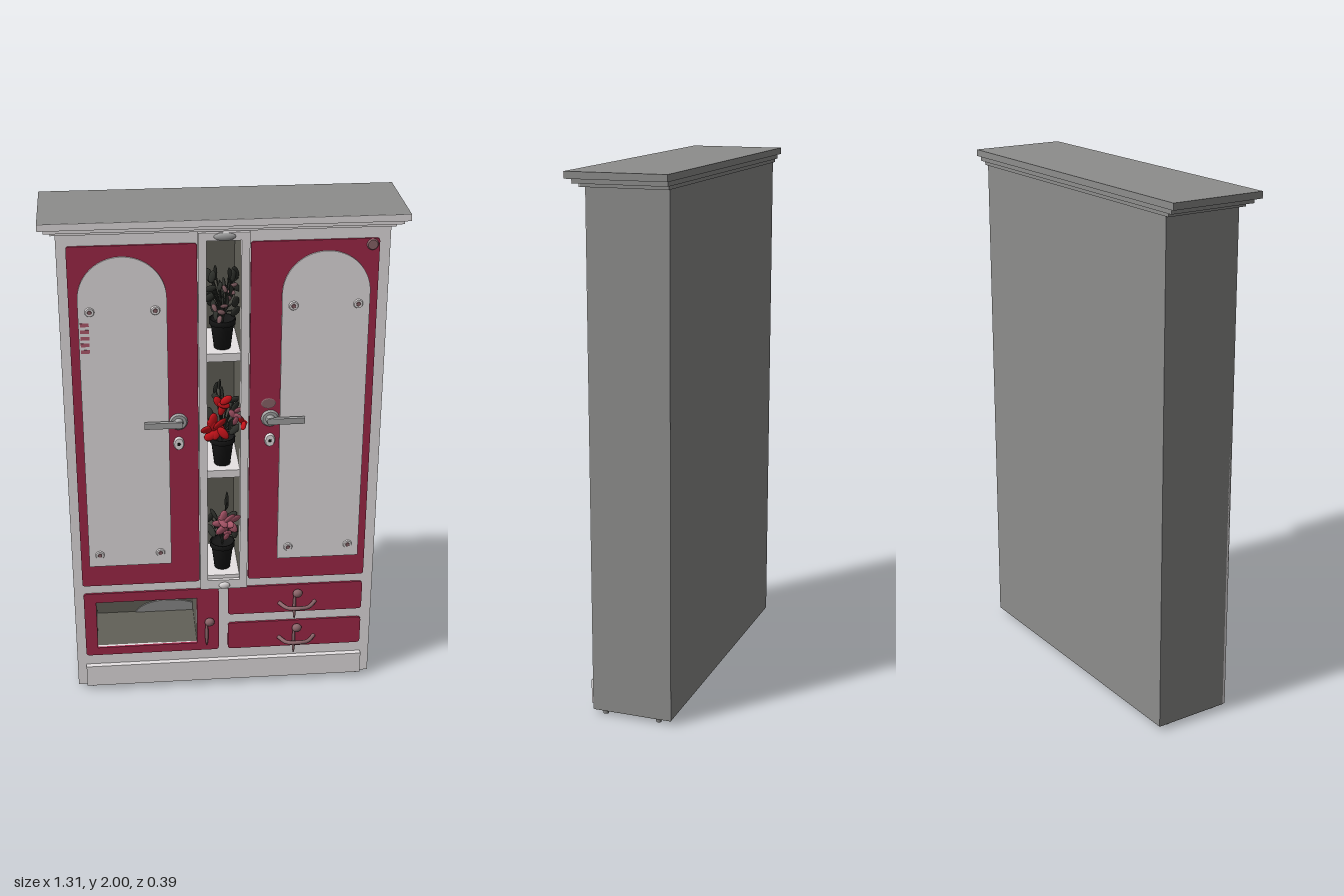
import * as THREE from 'three';

const mat = (name, color) => {
  const m = new THREE.MeshStandardMaterial({ color });
  m.name = name;
  return m;
};

export function createModel() {
  const root = new THREE.Group();
  root.name = 'cupboard';
  const white = mat('whitePaint', 0xe7e3e4), grey = mat('greyCarcass', 0x8d8d8c);
  const red = mat('raspberryPaint', 0xa2294a), olive = mat('oliveInterior', 0x626158);
  const steel = mat('steel', 0xa6a6a6), bronze = mat('rosyMetal', 0x8c666b);
  const black = mat('blackPot', 0x161616), green = mat('darkLeaf', 0x333530);
  const scarlet = mat('scarletPetal', 0xd0141c), pink = mat('pinkPetal', 0xb45c70);

  const add = (name, geo, m, parent = root) => {
    const mesh = new THREE.Mesh(geo, m);
    mesh.name = name;
    parent.add(mesh);
    return mesh;
  };
  // box given by its limits
  const box = (name, m, x0, x1, y0, y1, z0, z1, parent = root) => {
    const b = add(name, new THREE.BoxGeometry(x1 - x0, y1 - y0, z1 - z0), m, parent);
    b.position.set((x0 + x1) / 2, (y0 + y1) / 2, (z0 + z1) / 2);
    return b;
  };
  const rect = (s, x0, x1, y0, y1, r = 0) => {
    s.moveTo(x0 + r, y0); s.lineTo(x1 - r, y0);
    s.quadraticCurveTo(x1, y0, x1, y0 + r); s.lineTo(x1, y1 - r);
    s.quadraticCurveTo(x1, y1, x1 - r, y1); s.lineTo(x0 + r, y1);
    s.quadraticCurveTo(x0, y1, x0, y1 - r); s.lineTo(x0, y0 + r);
    s.quadraticCurveTo(x0, y0, x0 + r, y0);
    return s;
  };
  const plate = (name, m, shape, z0, z1) => {
    const g = new THREE.ExtrudeGeometry(shape, { depth: z1 - z0, bevelEnabled: false, curveSegments: 20 });
    return add(name, g.translate(0, 0, z0), m);
  };
  // disc or rod along z
  const disc = (name, m, x, y, z0, z1, r, parent = root) => {
    const d = add(name, new THREE.CylinderGeometry(r * 0.8, r, z1 - z0, 20), m, parent);
    d.rotation.x = Math.PI / 2;
    d.position.set(x, y, (z0 + z1) / 2);
    return d;
  };
  const ball = (name, m, x, y, z, sx, sy, sz, parent = root) => {
    const b = add(name, new THREE.SphereGeometry(1, 12, 8), m, parent);
    b.position.set(x, y, z);
    b.scale.set(sx, sy, sz);
    return b;
  };

  // carcass
  for (const s of [-1, 1]) box('sidePanel', grey, s * 0.585 - 0.01, s * 0.585 + 0.01, 0.02, 1.945, -0.185, 0.12);
  box('backPanel', grey, -0.59, 0.59, 0.02, 1.945, -0.185, -0.165);
  box('bottomPanel', olive, -0.594, 0.594, 0.018, 0.04, -0.184, 0.118);

  // stepped cornice with painted front edges
  [[0.612, 1.945, 1.958, -0.188, 0.135], [0.635, 1.958, 1.975, -0.193, 0.153], [0.655, 1.975, 2, -0.2, 0.172]]
    .forEach(([w, y0, y1, z0, z1]) => {
      box('cornice', grey, -w, w, y0, y1, z0, z1);
      box('corniceFront', white, -w, w, y0, y1, z1, z1 + 0.003);
    });

  // face frame with the niche and compartment openings
  const front = rect(new THREE.Shape(), -0.595, 0.595, 0.02, 1.945);
  front.holes.push(rect(new THREE.Path(), -0.065, 0.06, 0.5, 1.91), rect(new THREE.Path(), -0.51, -0.11, 0.2, 0.415));
  plate('faceFrame', white, front, 0.112, 0.122);
  box('plinth', white, -0.56, 0.56, 0.025, 0.118, 0.12, 0.143);

  // lined recesses
  const recess = (name, x0, x1, y0, y1, z0, z1) => {
    const t = 0.008;
    box(name + 'Back', olive, x0 - t, x1 + t, y0 - t, y1 + t, z0 - t, z0);
    box(name + 'Left', olive, x1, x1 + t, y0, y1, z0, z1);
    box(name + 'Right', olive, x0 - t, x0, y0, y1, z0, z1);
    box(name + 'Top', olive, x0, x1, y1, y1 + t, z0, z1);
    box(name + 'Floor', olive, x0, x1, y0 - t, y0, z0, z1);
  };
  recess('niche', -0.065, 0.06, 0.5, 1.91, -0.12, 0.115);
  recess('compartment', -0.51, -0.11, 0.2, 0.415, -0.12, 0.115);
  for (const y of [0.5, 0.97, 1.455]) box('nicheShelf', white, -0.065, 0.06, y - 0.016, y + 0.016, -0.12, 0.125);

  // pale hump at the back of the compartment
  const hump = new THREE.Shape();
  hump.moveTo(-0.35, 0.2);
  hump.lineTo(-0.112, 0.2);
  hump.lineTo(-0.112, 0.235);
  hump.bezierCurveTo(-0.17, 0.26, -0.31, 0.27, -0.35, 0.2);
  plate('compartmentHump', grey, hump, -0.12, -0.114);

  // raised niche surround
  const surround = rect(new THREE.Shape(), -0.095, 0.09, 0.46, 1.94);
  surround.holes.push(rect(new THREE.Path(), -0.065, 0.06, 0.5, 1.91));
  plate('nicheSurround', white, surround, 0.122, 0.138);
  ball('topOrnament', steel, 0, 1.925, 0.138, 0.04, 0.015, 0.008);
  ball('bottomOrnament', white, 0, 0.475, 0.138, 0.022, 0.015, 0.008);

  // doors, arched panels, screws, lever handles
  for (const s of [-1, 1]) {
    const door = s < 0 ? [-0.56, -0.098] : [0.094, 0.556];
    plate('door', red, rect(new THREE.Shape(), ...door, 0.495, 1.9, 0.012), 0.12, 0.13);
    const cx = s * 0.368, r = 0.16, arch = new THREE.Shape();
    arch.moveTo(cx - r, 0.588);
    arch.lineTo(cx + r, 0.588);
    arch.absarc(cx, 1.7, r, 0, Math.PI, false);
    plate('archedPanel', white, arch, 0.128, 0.136);
    for (const dx of [-0.118, 0.118]) for (const y of [0.64, 1.655]) {
      disc('screwCap', white, cx + dx, y, 0.134, 0.141, 0.019);
      disc('screwHead', bronze, cx + dx, y, 0.14, 0.143, 0.009);
    }
    const h = new THREE.Group();
    h.name = 'leverHandle';
    root.add(h);
    disc('rose', steel, s * 0.172, 1.203, 0.128, 0.138, 0.036, h);
    disc('spindle', steel, s * 0.172, 1.203, 0.136, 0.16, 0.018, h);
    const xs = [s * 0.16, s * 0.3].sort((a, b) => a - b);
    box('lever', steel, ...xs, 1.19, 1.214, 0.147, 0.162, h);
    disc('lockRose', white, s * 0.172, 1.112, 0.128, 0.139, 0.021, h).scale.z = 1.4;
    disc('keyhole', black, s * 0.172, 1.112, 0.138, 0.141, 0.007, h);
  }
  disc('doorBadge', bronze, 0.53, 1.878, 0.129, 0.136, 0.022);
  disc('doorMark', bronze, 0.165, 1.265, 0.129, 0.132, 0.03).scale.z = 0.75;
  for (let i = 0; i < 5; i++) box('panelMark', pink, -0.522, -0.49, 1.495 + i * 0.026, 1.509 + i * 0.026, 0.135, 0.137);

  // lower door with its window, and two drawers
  const hatch = rect(new THREE.Shape(), -0.558, -0.022, 0.165, 0.457, 0.015);
  hatch.holes.push(rect(new THREE.Path(), -0.51, -0.11, 0.2, 0.415));
  plate('lowerDoor', red, hatch, 0.12, 0.13);
  const key = (x, y, len) => {
    ball('keyKnob', bronze, x, y, 0.145, 0.02, 0.018, 0.015);
    ball('keyTassel', bronze, x - 0.012, y - len / 2, 0.145, 0.007, len / 2, 0.008);
  };
  key(-0.06, 0.308, 0.11);
  for (const [y0, y1, hy] of [[0.33, 0.458, 0.37], [0.165, 0.288, 0.205]]) {
    plate('drawerFront', red, rect(new THREE.Shape(), 0.015, 0.555, y0, y1, 0.015), 0.12, 0.13);
    const bow = new THREE.CatmullRomCurve3([[0.22, hy + 0.006, 0.13], [0.25, hy - 0.002, 0.16], [0.293, hy, 0.17],
      [0.336, hy - 0.002, 0.16], [0.366, hy + 0.006, 0.13]].map(p => new THREE.Vector3(...p)));
    add('drawerPull', new THREE.TubeGeometry(bow, 20, 0.008, 8), bronze);
    key(0.293, hy + 0.055, 0.12);
  }

  // feet: a cluster of small studs near each corner
  for (const x of [-0.535, 0.545]) for (const z of [-0.13, 0.08]) for (const [dx, dz] of [[-0.027, 0], [0.027, 0], [0, 0.022]]) {
    const stud = add('footStud', new THREE.CylinderGeometry(0.013, 0.01, 0.02, 10), grey);
    stud.position.set(x + dx, 0.01, z + dz);
  }

  // potted plants
  let seed = 7;
  const rnd = () => (seed = (seed * 16807) % 2147483647) / 2147483647;
  const potProfile = [[0, 0], [0.031, 0], [0.043, 0.095], [0.049, 0.095], [0.05, 0.115], [0.043, 0.115], [0.04, 0.1], [0, 0.1]]
    .map(p => new THREE.Vector2(...p));
  // each bloom is [material, x, y, z, petal size, spread, petal count]
  const plant = (y, leaves, leafTop, blooms) => {
    const g = new THREE.Group();
    g.name = 'pottedPlant';
    g.position.set(-0.002, y, 0.06);
    root.add(g);
    add('pot', new THREE.LatheGeometry(potProfile, 20), black, g);
    for (let i = 0; i < leaves; i++) {
      const a = i * 2.4, tip = new THREE.Vector3(Math.cos(a) * 0.048, 0.14 + (leafTop - 0.14) * rnd(), Math.sin(a) * 0.045);
      const stem = new THREE.QuadraticBezierCurve3(new THREE.Vector3(0, 0.09, 0), new THREE.Vector3(0, 0.16, 0), tip);
      add('stem', new THREE.TubeGeometry(stem, 6, 0.003, 5), green, g);
      ball('leaf', green, tip.x, tip.y, tip.z, 0.014, 0.028, 0.005, g).rotation.set(rnd() - 0.5, a, rnd() * 2 - 1);
    }
    for (const [m, bx, by, bz, size, spread, count] of blooms) for (let i = 0; i < count; i++) {
      const a = i * 2.4, d = spread * Math.sqrt((i + 0.3) / count);
      const p = ball('petal', m, bx + Math.cos(a) * d, by + Math.sin(a) * d, bz - 0.02 * rnd(), size * 0.6, size, size * 0.25, g);
      p.rotation.set((rnd() - 0.5) * 0.9, (rnd() - 0.5) * 0.9, a + 1.2);
    }
  };
  plant(1.47, 26, 0.31, [[bronze, -0.02, 0.17, 0.085, 0.016, 0.035, 4], [bronze, 0.02, 0.23, 0.05, 0.015, 0.035, 4]]);
  plant(0.985, 18, 0.32, [[scarlet, -0.035, 0.205, 0.122, 0.03, 0.04, 8], [scarlet, -0.01, 0.285, 0.085, 0.025, 0.03, 4],
    [pink, 0.04, 0.24, 0.09, 0.02, 0.025, 4], [scarlet, 0.07, 0.215, 0.095, 0.018, 0.014, 3]]);
  plant(0.52, 12, 0.33, [[pink, 0.005, 0.25, 0.105, 0.028, 0.038, 9], [pink, 0.01, 0.18, 0.06, 0.02, 0.018, 3]]);

  return root;
}
